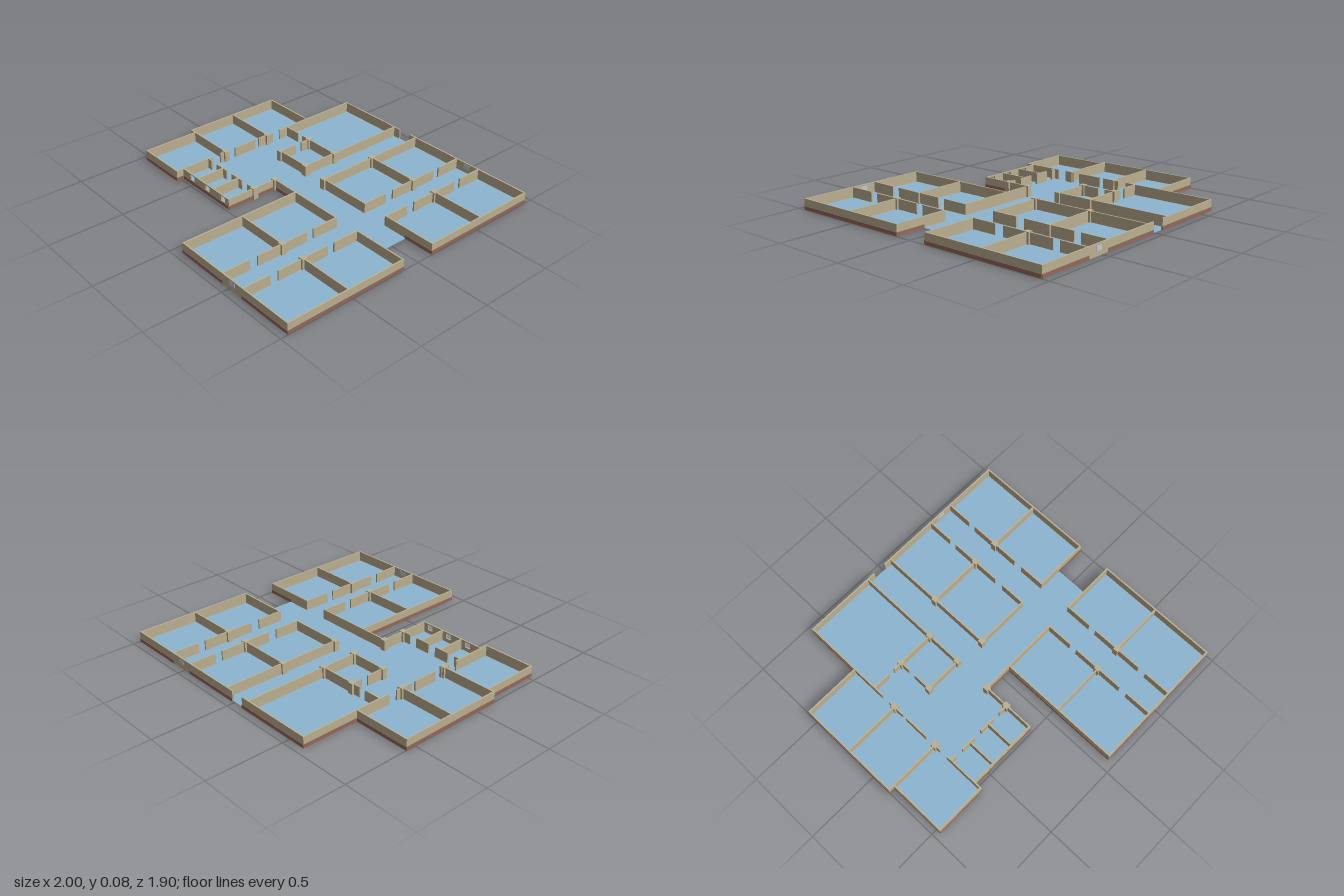
import * as THREE from 'three';

const H = 0.071, T = 0.01, FLOOR = 0.003;
const mat = (color) => new THREE.MeshStandardMaterial({ color, flatShading: true });

export function createModel() {
  const root = new THREE.Group();
  const beige = mat(0xbcb090), brown = mat(0x94695a), blue = mat(0x8db5d0), glass = mat(0xc4c8d4);

  const group = (name) => {
    const g = new THREE.Group();
    g.name = name;
    root.add(g);
    return g;
  };
  const box = (parent, name, material, x0, x1, y0, y1, z0, z1) => {
    const m = new THREE.Mesh(new THREE.BoxGeometry(x1 - x0, y1 - y0, z1 - z0), material);
    m.position.set((x0 + x1) / 2, (y0 + y1) / 2, (z0 + z1) / 2);
    m.name = name;
    parent.add(m);
  };
  // Walls along x (fixed z) and along z (fixed x)
  const h = T / 2;
  const alongX = (g, z, x0, x1, y0 = 0, y1 = H) => box(g, 'wall', beige, x0 - h, x1 + h, y0, y1, z - h, z + h);
  const alongZ = (g, x, z0, z1) => box(g, 'wall', beige, x - h, x + h, 0, H, z0 - h, z1 + h);

  // Floor slab following the building outline
  const outline = [
    [-0.61, -0.945], [0.99, -0.945], [0.99, -0.12], [0.79, -0.12], [0.79, 0.115], [0.99, 0.115],
    [0.99, 0.945], [0.07, 0.945], [0.07, 0.115], [-0.13, 0.115], [-0.13, 0.475], [-0.61, 0.475],
    [-0.61, 0.525], [-0.955, 0.525], [-0.955, 0.14], [-0.995, 0.14], [-0.995, -0.56], [-0.61, -0.56],
  ];
  const shape = new THREE.Shape(outline.map(([x, z]) => new THREE.Vector2(x, -z)));
  const slab = new THREE.ExtrudeGeometry(shape, { depth: FLOOR, bevelEnabled: false });
  slab.rotateX(-Math.PI / 2);
  const floor = new THREE.Mesh(slab, blue);
  floor.name = 'floor';
  root.add(floor);

  // Outer walls
  const outer = group('outerWalls');
  [
    [-0.945, -0.61, -0.08], [-0.945, 0.02, 0.44], [-0.945, 0.62, 0.99],
    [0.945, 0.07, 0.44], [0.945, 0.62, 0.99],
    [-0.12, 0.62, 0.99], [0.115, 0.62, 0.99], [0.115, -0.13, 0.44],
    [-0.56, -0.995, -0.61], [0.14, -0.995, -0.61], [0.525, -0.955, -0.61],
  ].forEach(([z, a, b]) => alongX(outer, z, a, b));
  [
    [0.99, -0.945, -0.12], [0.99, 0.115, 0.945], [0.07, 0.115, 0.945], [-0.13, 0.115, 0.475],
    [-0.995, -0.56, 0.14], [-0.955, 0.14, 0.525],
  ].forEach(([x, a, b]) => alongZ(outer, x, a, b));

  // Washroom wall with three square window openings
  const washroom = group('washroomWindowWall');
  const windows = [-0.505, -0.345, -0.185], half = 0.02;
  alongX(washroom, 0.475, -0.61, -0.13, 0, 0.028);
  alongX(washroom, 0.475, -0.61, -0.13, 0.064, H);
  const edges = [-0.61 - h, ...windows.flatMap((x) => [x - half, x + half]), -0.13 + h];
  for (let i = 0; i < edges.length; i += 2)
    box(washroom, 'windowPier', beige, edges[i], edges[i + 1], 0.028, 0.064, 0.475 - h, 0.475 + h);

  // Corridor end walls with a glazed panel
  const ends = group('corridorEnds');
  for (const z of [-0.945, 0.945]) {
    alongX(ends, z, 0.45, 0.61);
    box(ends, 'glassPanel', glass, 0.505, 0.555, 0.03, 0.06, z - h - 0.001, z + h + 0.001);
  }

  // Inner walls, broken by doorways
  const inner = group('innerWalls');
  for (const x of [0.44, 0.62])
    [[-0.945, -0.77], [-0.71, -0.36], [-0.29, -0.12], [0.115, 0.29], [0.35, 0.7], [0.765, 0.945]]
      .forEach(([a, b]) => alongZ(inner, x, a, b));
  for (const z of [-0.535, 0.525])
    [[0.07, 0.44], [0.62, 0.99]].forEach(([a, b]) => alongX(inner, z, a, b));
  [
    [-0.12, 0.07, 0.44], [-0.21, -0.995, -0.61], [-0.385, -0.61, -0.495], [-0.385, -0.44, -0.13],
    [-0.14, -0.38, -0.13], [0.28, -0.61, -0.575], [0.28, -0.51, -0.415],
    [0.28, -0.35, -0.255], [0.28, -0.19, -0.13],
  ].forEach(([z, a, b]) => alongX(inner, z, a, b));
  [
    [0.07, -0.945, -0.12], [-0.13, -0.945, -0.14], [-0.38, -0.385, -0.32], [-0.38, -0.26, -0.14],
    [-0.61, -0.945, -0.32], [-0.61, -0.25, -0.14], [-0.61, -0.1, 0.06], [-0.61, 0.12, 0.18],
    [-0.61, 0.25, 0.525], [-0.45, 0.28, 0.475], [-0.29, 0.28, 0.475],
  ].forEach(([x, a, b]) => alongZ(inner, x, a, b));

  // Square columns at the wall junctions
  const columns = group('columns');
  const c = 0.018;
  [
    [-0.61, -0.21], [-0.61, 0.14], [-0.38, -0.385], [-0.13, -0.385], [-0.38, -0.14], [-0.13, -0.14],
    [-0.13, 0.115], [-0.13, 0.28], [0.07, -0.535], [0.44, -0.535], [0.62, -0.535],
    [0.07, -0.12], [0.44, 0.525], [0.62, 0.525],
  ].forEach(([x, z]) => box(columns, 'column', beige, x - c, x + c, 0, 0.075, z - c, z + c));

  // Brown plinth on the outside faces; s is the outward direction
  const plinth = group('plinth');
  const P = 0.0025, top = 0.023;
  const plinthX = (z, s, a, b) => {
    const f = z + s * h;
    box(plinth, 'plinthStrip', brown, a - h, b + h, 0, top, Math.min(f, f + s * P), Math.max(f, f + s * P));
  };
  const plinthZ = (x, s, a, b) => {
    const f = x + s * h;
    box(plinth, 'plinthStrip', brown, Math.min(f, f + s * P), Math.max(f, f + s * P), 0, top, a - h, b + h);
  };
  [
    [-0.945, -1, -0.61, -0.08], [-0.945, -1, 0.02, 0.44], [-0.945, -1, 0.62, 0.99],
    [0.945, 1, 0.07, 0.44], [0.945, 1, 0.62, 0.99], [-0.12, 1, 0.79, 0.99], [0.115, -1, 0.79, 0.99],
    [0.115, 1, -0.12, 0.06], [0.475, 1, -0.6, -0.13], [0.525, 1, -0.955, -0.61],
    [-0.56, -1, -0.995, -0.62], [0.14, 1, -0.995, -0.965],
  ].forEach((p) => plinthX(...p));
  [
    [0.99, 1, -0.945, -0.12], [0.99, 1, 0.115, 0.945], [0.07, -1, 0.125, 0.945], [-0.13, 1, 0.125, 0.475],
    [-0.995, -1, -0.56, 0.14], [-0.955, -1, 0.15, 0.525], [-0.61, -1, -0.945, -0.57], [-0.61, 1, 0.485, 0.525],
  ].forEach((p) => plinthZ(...p));

  return root;
}
